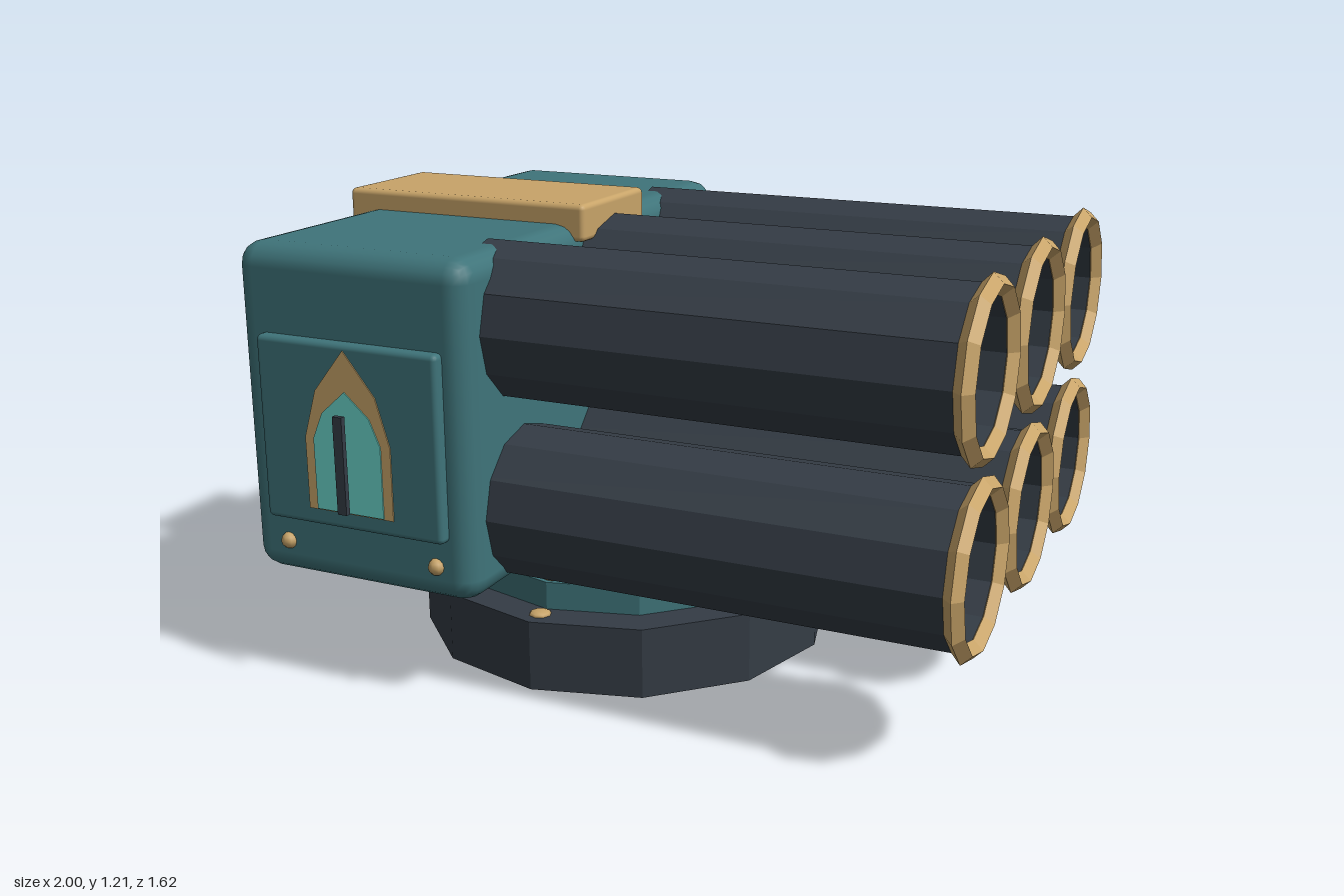
import * as THREE from 'three';
import { RoundedBoxGeometry } from 'three/addons/geometries/RoundedBoxGeometry.js';

const mat = (color, opts = {}) => {
  const m = new THREE.MeshStandardMaterial({ color, ...opts });
  return m;
};

export function createModel() {
  const model = new THREE.Group();
  const teal = mat(0x3f747a);
  const tealFlat = mat(0x3f747a, { flatShading: true });
  const gold = mat(0xc8a469);
  const goldFlat = mat(0xc8a469, { flatShading: true });
  const dark = mat(0x343c45, { flatShading: true });
  const glow = mat(0x6bd6cc, { side: THREE.DoubleSide });

  const add = (parent, name, geometry, material, x = 0, y = 0, z = 0) => {
    const mesh = new THREE.Mesh(geometry, material);
    mesh.name = name;
    mesh.position.set(x, y, z);
    parent.add(mesh);
    return mesh;
  };
  // Rounded box given by its min and max corners
  const block = (parent, name, a, b, radius, material) =>
    add(parent, name,
      new RoundedBoxGeometry(b[0] - a[0], b[1] - a[1], b[2] - a[2], 2, radius), material,
      (a[0] + b[0]) / 2, (a[1] + b[1]) / 2, (a[2] + b[2]) / 2);

  // Turntable base
  const base = new THREE.Group();
  base.name = 'turntable';
  base.position.x = -0.163;
  model.add(base);
  add(base, 'baseDisc', new THREE.CylinderGeometry(0.575, 0.575, 0.19, 12), dark, 0, 0.095, 0);
  add(base, 'collar', new THREE.CylinderGeometry(0.48, 0.48, 0.075, 12), tealFlat, 0, 0.2275, 0);
  const ring = new THREE.TorusGeometry(0.452, 0.02, 4, 12).rotateX(Math.PI / 2);
  add(base, 'collarRing', ring, goldFlat, 0, 0.27, 0);
  for (let i = 0; i < 4; i++) {
    const a = i * Math.PI / 2;
    const bolt = add(base, 'baseBolt', new THREE.SphereGeometry(0.03, 8, 6), gold,
      Math.sin(a) * 0.515, 0.19, Math.cos(a) * 0.515);
    bolt.scale.y = 0.4;
  }

  // Housing with top strap and rear bar
  block(model, 'housing', [-0.9, 0.28, -0.74], [-0.22, 1.155, 0.74], 0.06, teal);
  block(model, 'topStrap', [-0.935, 1.11, -0.18], [-0.195, 1.21, 0.18], 0.015, gold);
  block(model, 'rearBar', [-1, 0.57, -0.565], [-0.89, 0.705, 0.565], 0.015, gold);

  // Pointed window outline, closed at the bottom
  const archShape = (half, bottom, shoulder, peak) => {
    const rise = peak - shoulder;
    return new THREE.Shape([
      [-half, bottom], [half, bottom], [half, shoulder], [half * 0.7, shoulder + rise * 0.53],
      [0, peak], [-half * 0.7, shoulder + rise * 0.53], [-half, shoulder],
    ].map(([x, y]) => new THREE.Vector2(x, y)));
  };
  const extrude = (shape, depth) =>
    new THREE.ExtrudeGeometry(shape, { depth, bevelEnabled: false });

  // Side panels, the second turned to the opposite side
  for (const turn of [0, Math.PI]) {
    const side = new THREE.Group();
    side.name = turn ? 'rightSidePanel' : 'leftSidePanel';
    side.position.x = -0.554;
    side.rotation.y = turn;
    model.add(side);
    block(side, 'panel', [-0.267, 0.445, 0.7], [0.267, 0.93, 0.77], 0.015, teal);
    add(side, 'windowFrame', extrude(archShape(0.127, 0.49, 0.68, 0.915), 0.02), gold, 0, 0, 0.753);
    add(side, 'windowPane', extrude(archShape(0.1, 0.493, 0.68, 0.81), 0.02), glow, 0, 0, 0.756);
    add(side, 'windowSlit', new THREE.BoxGeometry(0.027, 0.255, 0.014), dark, 0, 0.628, 0.803);
    for (const x of [-0.226, 0.226])
      add(side, 'panelBolt', new THREE.SphereGeometry(0.023, 8, 6), gold, x, 0.375, 0.738);
  }

  // Launch tubes: hollow wall, collar rim and glowing core
  const wall = [[0.165, -0.31], [0.2, -0.31], [0.2, 0.975], [0.178, 0.975], [0.165, -0.31]]
    .map(([r, y]) => new THREE.Vector2(r, y));
  const tubeGeo = new THREE.LatheGeometry(wall, 12).rotateZ(-Math.PI / 2);
  const rimGeo = new THREE.TorusGeometry(0.2, 0.025, 4, 12).rotateY(Math.PI / 2);
  const coreGeo = new THREE.CircleGeometry(0.12, 10).rotateY(Math.PI / 2);
  const tubeMat = mat(0x343c45, { flatShading: true, side: THREE.DoubleSide });
  for (const y of [0.49, 0.963]) {
    for (const z of [-0.473, 0, 0.473]) {
      const tube = new THREE.Group();
      tube.name = 'launchTube';
      tube.position.set(0, y, z);
      model.add(tube);
      add(tube, 'tubeWall', tubeGeo, tubeMat);
      add(tube, 'tubeRim', rimGeo, goldFlat, 0.975);
      add(tube, 'tubeCore', coreGeo, glow, -0.205);
    }
  }
  return model;
}
